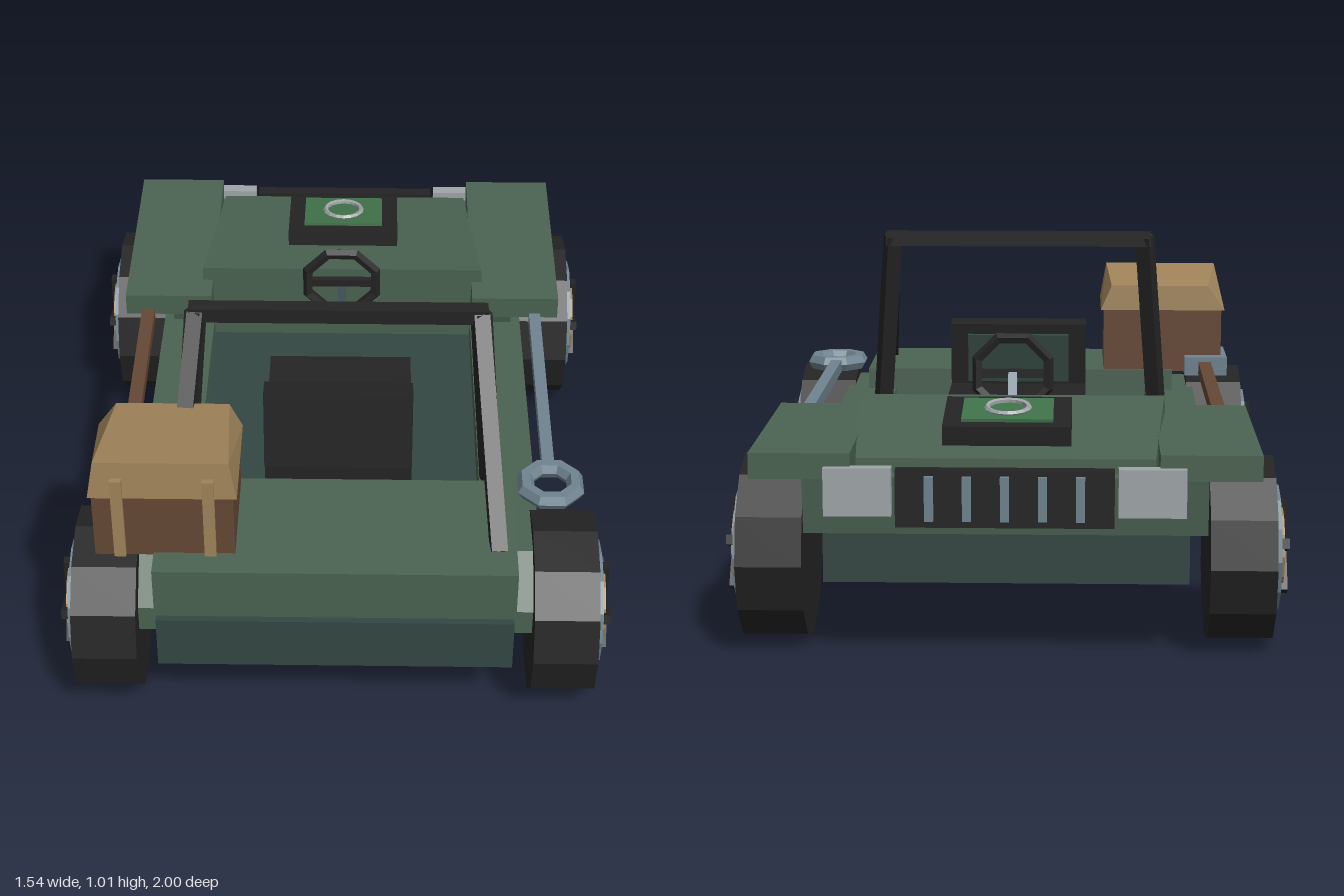
import * as THREE from 'three';
import { ConvexGeometry } from 'three/addons/geometries/ConvexGeometry.js';

const mat = (name, color) => {
  const m = new THREE.MeshStandardMaterial({ color });
  m.name = name;
  return m;
};

export function createModel() {
  const green = mat('bodyGreen', 0x4b6352), dark = mat('darkGreen', 0x344742);
  const black = mat('black', 0x242424), steel = mat('steel', 0x6f838f);
  const tan = mat('tan', 0xa0845a), brown = mat('brown', 0x664836);
  const pale = mat('paleGrey', 0xa0a6a8), bright = mat('brightGreen', 0x40734a);
  const model = new THREE.Group();
  model.name = 'buggy';

  // Faceted mesh with hard edges
  function add(name, geo, material, parent = model) {
    const g = geo.index ? geo.toNonIndexed() : geo;
    g.computeVertexNormals();
    const m = new THREE.Mesh(g, material);
    m.name = name;
    parent.add(m);
    return m;
  }
  // Box given by its limits on each axis
  function box(name, x0, x1, y0, y1, z0, z1, material, parent) {
    const m = add(name, new THREE.BoxGeometry(x1 - x0, y1 - y0, z1 - z0), material, parent);
    m.position.set((x0 + x1) / 2, (y0 + y1) / 2, (z0 + z1) / 2);
    return m;
  }
  // Square bar between two points
  function beam(name, a, b, w, material) {
    const p = new THREE.Vector3(...a), q = new THREE.Vector3(...b);
    const m = add(name, new THREE.BoxGeometry(w, w, p.distanceTo(q)), material);
    m.position.copy(p).add(q).multiplyScalar(0.5);
    m.lookAt(q);
    return m;
  }
  const solid = (name, pts, material) =>
    add(name, new ConvexGeometry(pts.map(p => new THREE.Vector3(...p))), material);
  // Side profile of [z, y] points swept from x0 to x1
  const profile = (name, x0, x1, pts, material) =>
    solid(name, pts.flatMap(([z, y]) => [[x0, y, z], [x1, y, z]]), material);

  // Chassis and body
  box('chassis', -0.495, 0.495, 0.21, 0.375, -0.88, 0.965, dark);
  box('rearDeck', -0.5, 0.5, 0.37, 0.537, 0.545, 0.945, green);
  profile('nose', -0.54, 0.54, [[-0.38, 0.52], [-0.38, 0.37], [-0.935, 0.36], [-0.955, 0.52]], green);
  for (const s of [-1, 1]) {
    const [a, b] = s > 0 ? [0.41, 0.57] : [-0.57, -0.41];
    profile('sidePanel', a, b, [[-0.42, 0.28], [0.9, 0.28], [0.9, 0.36], [0.78, 0.48], [-0.42, 0.43]], green);
    const [c, d] = s > 0 ? [0.41, 0.68] : [-0.68, -0.41];
    box('frontFender', c, d, 0.515, 0.585, -0.965, -0.285, green);
    // Tapered arch brace under the fender
    profile('fenderBrace', s * 0.41, s * 0.54, [[-0.35, 0.52], [-0.375, 0.42], [-0.5, 0.42], [-0.5, 0.52]], green);
  }

  // Sloping hood, narrower toward the nose
  solid('hood', [
    [-0.45, 0.5, -0.375], [0.45, 0.5, -0.375], [-0.4, 0.5, -0.905], [0.4, 0.5, -0.905],
    [-0.44, 0.63, -0.375], [0.44, 0.63, -0.375], [-0.4, 0.56, -0.905], [0.4, 0.56, -0.905],
  ], green);

  // Hood hatch with a ring
  const hatch = new THREE.Group();
  hatch.name = 'hoodHatch';
  hatch.position.set(0, 0.618, -0.677);
  hatch.rotation.x = -0.12;
  model.add(hatch);
  box('hatchFrame', -0.175, 0.175, -0.03, 0.025, -0.133, 0.133, black, hatch);
  box('hatchPanel', -0.125, 0.125, 0.025, 0.034, -0.093, 0.093, bright, hatch);
  const ring = add('hatchRing', new THREE.TorusGeometry(0.058, 0.008, 5, 16), pale, hatch);
  ring.rotation.x = Math.PI / 2;
  ring.position.y = 0.038;

  // Grille and headlights
  box('grille', -0.29, 0.29, 0.39, 0.545, -0.985, -0.945, black);
  for (let i = -2; i <= 2; i++)
    box('grilleBar', i * 0.1 - 0.012, i * 0.1 + 0.012, 0.41, 0.53, -1, -0.98, steel);
  for (const s of [-1, 1])
    box('headlight', s * 0.39 - 0.09, s * 0.39 + 0.09, 0.42, 0.55, -0.988, -0.95, pale);

  // Wheels
  function wheel(side, y, z) {
    const w = new THREE.Group();
    w.name = 'wheel';
    w.position.set(0, y, z);
    const disc = (name, r, x0, x1, material) => {
      const m = add(name, new THREE.CylinderGeometry(r, r, x1 - x0, 12), material, w);
      m.rotation.z = Math.PI / 2;
      m.position.x = (x0 + x1) / 2;
    };
    disc('tire', 0.26, 0.55, 0.73, black);
    disc('rim', 0.177, 0.72, 0.748, steel);
    disc('hub', 0.118, 0.74, 0.76, tan);
    for (let i = 0; i < 5; i++) {
      const arm = new THREE.Group();
      arm.name = 'spokeArm';
      arm.rotation.x = i * Math.PI * 2 / 5;
      w.add(arm);
      box('spoke', 0.745, 0.772, -0.01, 0.133, -0.014, 0.014, black, arm);
    }
    if (side < 0) w.rotation.y = Math.PI;
    model.add(w);
  }
  for (const s of [-1, 1]) {
    wheel(s, 0.26, 0.74);
    wheel(s, 0.26, -0.66);
  }

  // Seat
  box('seatCushion', -0.215, 0.215, 0.375, 0.525, -0.055, 0.4, black);
  const back = new THREE.Group();
  back.name = 'seatBack';
  back.position.set(0, 0.61, 0.38);
  back.rotation.x = -0.13;
  model.add(back);
  box('backrest', -0.215, 0.215, -0.13, 0.117, -0.035, 0.035, black, back);
  box('backrestPad', -0.16, 0.16, -0.07, 0.085, -0.048, -0.03, dark, back);

  // Steering wheel and column
  const steer = add('steeringWheel', new THREE.TorusGeometry(0.112, 0.017, 5, 8), black);
  steer.position.set(0, 0.67, -0.25);
  steer.rotation.z = Math.PI / 8;
  box('steeringSpoke', -0.105, 0.105, 0.658, 0.682, -0.26, -0.24, black);
  beam('steeringColumn', [0, 0.67, -0.255], [0, 0.47, -0.375], 0.026, steel);

  // Roll cage
  box('rollBarTop', -0.42, 0.42, 0.97, 1.015, 0.34, 0.385, black);
  for (const s of [-1, 1]) {
    beam('rollBarPost', [s * 0.445, 0.44, 0.465], [s * 0.4, 1.0, 0.363], 0.047, black);
    beam('rollBarBrace', [s * 0.45, 0.53, 0.84], [s * 0.4, 0.99, 0.37], 0.045, black);
  }

  // Strapped crate
  box('crate', -0.66, -0.275, 0.53, 0.745, 0.56, 0.865, brown);
  solid('crateLid', [
    [-0.67, 0.735, 0.55], [-0.265, 0.735, 0.55], [-0.67, 0.735, 0.87], [-0.265, 0.735, 0.87],
    [-0.615, 0.815, 0.555], [-0.3, 0.815, 0.555], [-0.65, 0.85, 0.86], [-0.285, 0.85, 0.86],
  ], tan);
  for (const x of [-0.59, -0.342])
    box('crateStrap', x - 0.016, x + 0.016, 0.535, 0.8, 0.86, 0.88, tan);

  // Shovel along the right side
  box('shovelHandle', -0.625, -0.585, 0.53, 0.57, -0.235, 0.53, brown);
  box('shovelBlade', -0.678, -0.54, 0.525, 0.585, 0.51, 0.73, steel);

  // Wrench along the left side
  box('wrenchRod', 0.585, 0.62, 0.535, 0.573, -0.225, 0.52, steel);
  const head = add('wrenchRing', new THREE.TorusGeometry(0.075, 0.026, 6, 8), steel);
  head.position.set(0.605, 0.558, 0.583);
  head.rotation.set(Math.PI / 2, 0, Math.PI / 8);

  return model;
}
